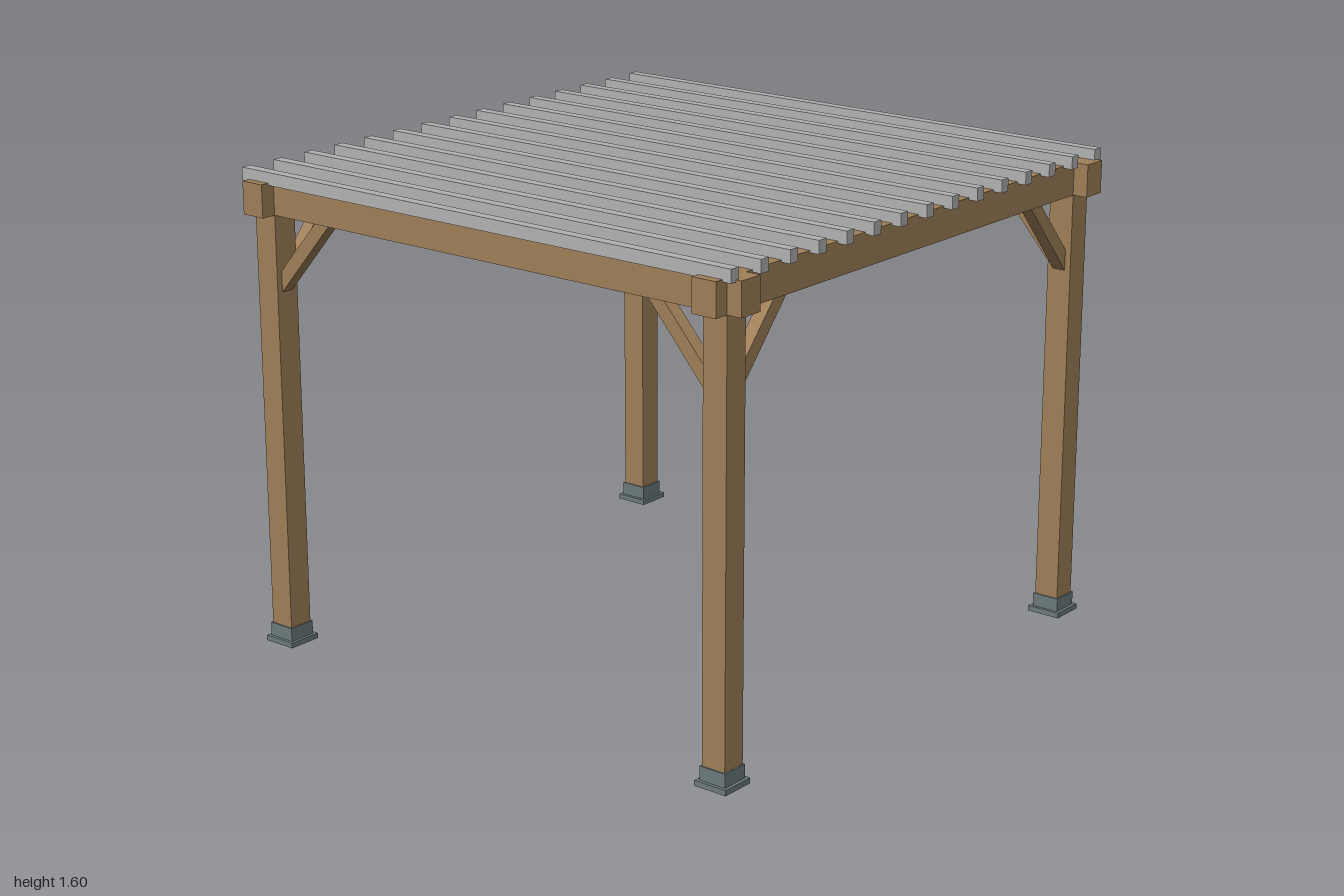
import * as THREE from 'three';

const wood = new THREE.MeshStandardMaterial({ name: 'warm wood', color: 0xa08059 });
const slatGrey = new THREE.MeshStandardMaterial({ name: 'slat grey', color: 0xb2b2b2 });
const footGrey = new THREE.MeshStandardMaterial({ name: 'foot slate grey', color: 0x6c7a7c });

const POST = 0.906;    // post and beam centre lines
const WIDTH = 0.086;   // timber width
const BEAM_BOTTOM = 1.46, BEAM_TOP = 1.568;

// Box given by its size, centre x/z and bottom height
function box(name, material, w, h, d, x, y, z) {
  const mesh = new THREE.Mesh(new THREE.BoxGeometry(w, h, d), material);
  mesh.name = name;
  mesh.position.set(x, y + h / 2, z);
  return mesh;
}

// Diagonal brace profile, measured inward from the post's centre line
function braceGeometry() {
  const shape = new THREE.Shape([
    [0.043, 1.205], [0.266, BEAM_BOTTOM], [0.206, BEAM_BOTTOM], [0.043, 1.275],
  ].map(([x, y]) => new THREE.Vector2(x, y)));
  const depth = 0.045;
  return new THREE.ExtrudeGeometry(shape, { depth, bevelEnabled: false }).translate(0, 0, -depth / 2);
}

export function createModel() {
  const model = new THREE.Group();
  model.name = 'pergola';
  const brace = braceGeometry();

  // Four corners: foot, post and two braces
  for (const sx of [-1, 1]) {
    for (const sz of [-1, 1]) {
      const corner = new THREE.Group();
      corner.name = `${sz > 0 ? 'front' : 'back'}${sx > 0 ? 'Left' : 'Right'}Post`;
      corner.position.set(sx * POST, 0, sz * POST);
      corner.add(
        box('footPlate', footGrey, 0.118, 0.018, 0.118, 0, 0, 0),
        box('footSleeve', footGrey, 0.096, 0.045, 0.096, 0, 0.018, 0),
        box('post', wood, WIDTH, BEAM_BOTTOM - 0.06, WIDTH, 0, 0.06, 0),
      );
      const sideBrace = new THREE.Mesh(brace, wood);
      sideBrace.name = 'braceAcross';
      sideBrace.rotation.y = sx > 0 ? Math.PI : 0;
      const depthBrace = new THREE.Mesh(brace, wood);
      depthBrace.name = 'braceAlong';
      depthBrace.rotation.y = sz * Math.PI / 2;
      corner.add(sideBrace, depthBrace);
      model.add(corner);
    }
  }

  // Crossing beams with overhanging ends
  const beamHeight = BEAM_TOP - BEAM_BOTTOM;
  for (const s of [-1, 1]) {
    model.add(
      box(s > 0 ? 'frontBeam' : 'backBeam', wood, 2, beamHeight, WIDTH, 0, BEAM_BOTTOM, s * POST),
      box(s > 0 ? 'leftBeam' : 'rightBeam', wood, WIDTH, beamHeight, 2, s * POST, BEAM_BOTTOM, 0),
    );
  }

  // Roof slats
  const slats = new THREE.Group();
  slats.name = 'roofSlats';
  const count = 15, reach = 0.953;
  for (let i = 0; i < count; i++) {
    const z = -reach + (2 * reach * i) / (count - 1);
    slats.add(box('slat', slatGrey, 1.96, 0.042, 0.036, 0, 1.561, z));
  }
  model.add(slats);

  return model;
}
